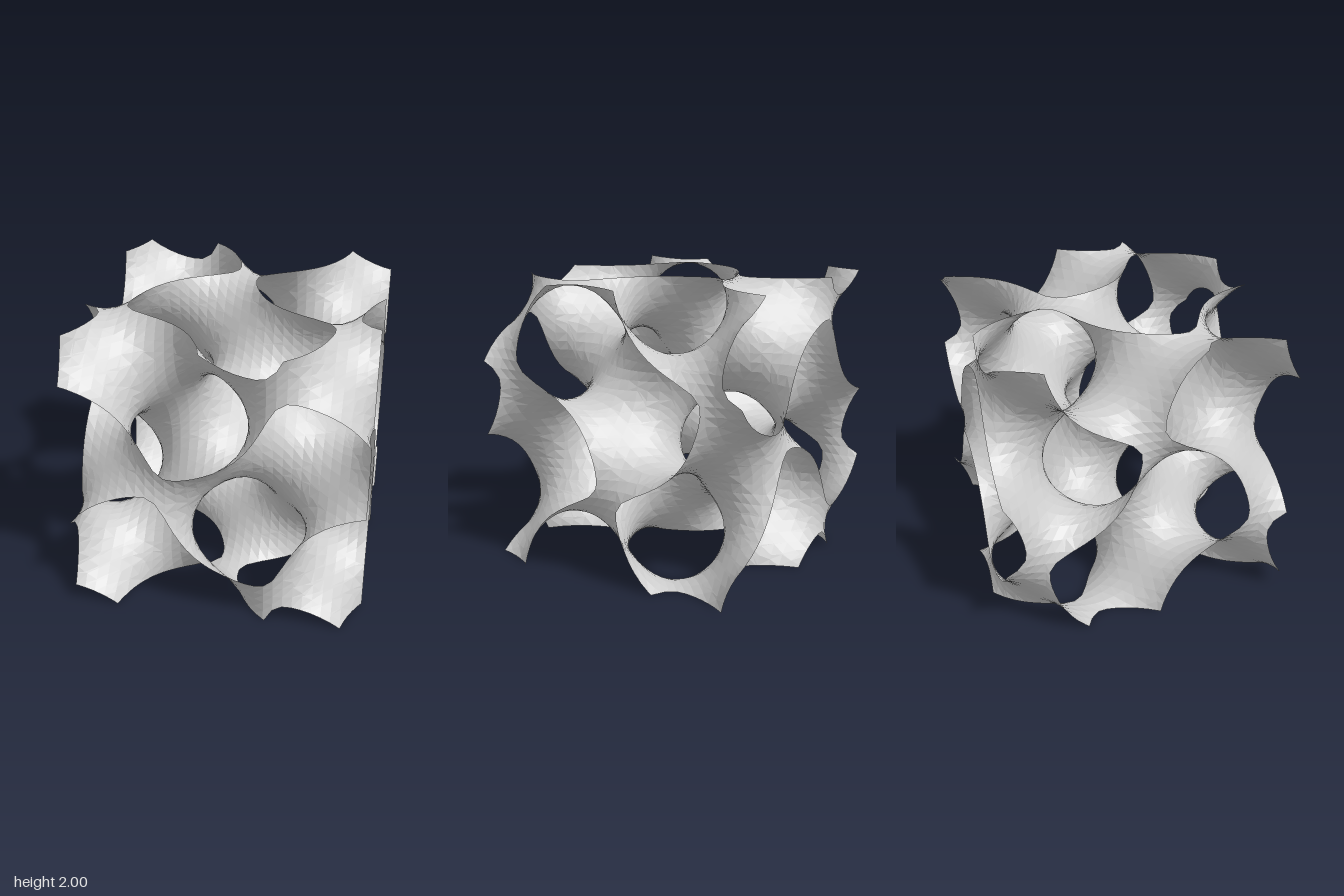
import * as THREE from 'three';

const CELLS = 30;            // grid cells along each side of the cube
const SIDE = CELLS + 1;
const WAVE = 4;              // radians per unit

// Gyroid field: the surface lies where this is zero
function field(x, y, z) {
  const [a, b, c] = [x * WAVE, y * WAVE, z * WAVE];
  return Math.sin(a) * Math.cos(c) + Math.sin(b) * Math.cos(a) + Math.sin(c) * Math.cos(b);
}

// The six cell faces as corner cycles, counter-clockwise from outside
// (corner bits: 1 = x, 2 = y, 4 = z)
const faces = [];
for (let axis = 0; axis < 3; axis++) {
  const a = 1 << axis, u = 1 << (axis + 1) % 3, v = 1 << (axis + 2) % 3;
  faces.push([a, a | u, a | u | v, a | v], [0, v, u | v, u]);
}

function gyroidGeometry() {
  // Sample the field on the grid
  const coord = i => -1 + 2 * i / CELLS;
  const gridId = (i, j, k) => (i * SIDE + j) * SIDE + k;
  const points = [], values = [];
  for (let i = 0; i < SIDE; i++)
    for (let j = 0; j < SIDE; j++)
      for (let k = 0; k < SIDE; k++) {
        const p = new THREE.Vector3(coord(i), coord(j), coord(k));
        points.push(p);
        values.push(field(p.x, p.y, p.z));
      }

  // One shared vertex for each grid edge the surface crosses
  const positions = [], index = [], known = new Map();
  const crossing = (g, h) => {
    const lo = Math.min(g, h), hi = Math.max(g, h);
    const key = lo * points.length + hi;
    if (!known.has(key)) {
      const t = values[lo] / (values[lo] - values[hi]);
      const p = points[lo].clone().lerp(points[hi], t);
      known.set(key, positions.length / 3);
      positions.push(p.x, p.y + 1, p.z);
    }
    return known.get(key);
  };

  // In each cell, join the crossings face by face into closed loops
  const polygonise = (i, j, k) => {
    const ids = [];
    for (let c = 0; c < 8; c++) ids.push(gridId(i + (c & 1), j + (c >> 1 & 1), k + (c >> 2)));
    const inside = ids.map(g => values[g] > 0);
    if (inside.every(s => s === inside[0])) return;

    const next = new Map();
    for (const f of faces)
      for (let e = 0; e < 4; e++) {
        if (inside[f[e]] || !inside[f[(e + 1) % 4]]) continue;
        let q = e + 1;
        while (inside[f[(q + 1) % 4]]) q++;
        next.set(crossing(ids[f[e]], ids[f[(e + 1) % 4]]),
          crossing(ids[f[q % 4]], ids[f[(q + 1) % 4]]));
      }

    while (next.size) {
      const loop = [];
      let v = next.keys().next().value;
      while (next.has(v)) {
        loop.push(v);
        const following = next.get(v);
        next.delete(v);
        v = following;
      }
      for (let n = 1; n < loop.length - 1; n++) index.push(loop[0], loop[n], loop[n + 1]);
    }
  };
  for (let i = 0; i < CELLS; i++)
    for (let j = 0; j < CELLS; j++)
      for (let k = 0; k < CELLS; k++) polygonise(i, j, k);

  const geometry = new THREE.BufferGeometry();
  geometry.setAttribute('position', new THREE.Float32BufferAttribute(positions, 3));
  geometry.setIndex(index);
  geometry.computeVertexNormals();
  return geometry;
}

export function createModel() {
  const group = new THREE.Group();
  group.name = 'gyroid';
  // Thin open sheet, seen from both sides
  const sheet = new THREE.Mesh(gyroidGeometry(), new THREE.MeshStandardMaterial({
    color: 0xcccccc, flatShading: true, side: THREE.DoubleSide,
  }));
  sheet.name = 'gyroidSheet';
  group.add(sheet);
  return group;
}
